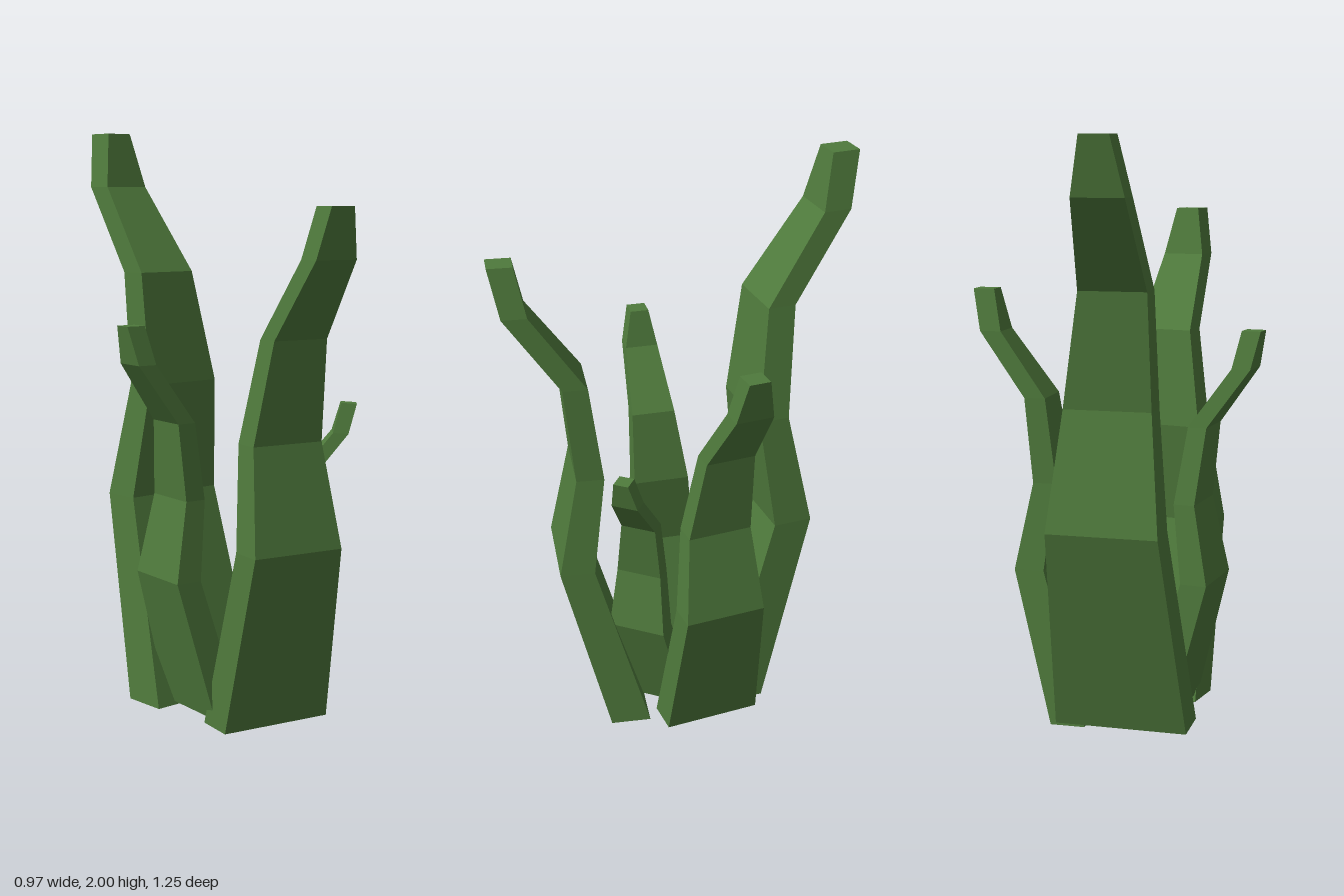
import * as THREE from 'three';

// Rectangular cross-sections of one blade: [height, sideways shift, half width, inner z, outer z]
const RINGS = [
  [0, -0.02, 0.2, 0.14, 0.28],
  [0.62, -0.035, 0.165, 0.32, 0.44],
  [0.97, -0.035, 0.13, 0.275, 0.37],
  [1.31, -0.01, 0.1, 0.32, 0.405],
  [1.57, 0, 0.075, 0.505, 0.59],
  [1.735, 0, 0.042, 0.54, 0.625],
];

// A segmented box whose vertex rows are moved onto the cross-sections
function bladeGeometry() {
  const last = RINGS.length - 1;
  const geo = new THREE.BoxGeometry(1, 1, 1, 1, last, 1);
  const pos = geo.attributes.position;
  for (let i = 0; i < pos.count; i++) {
    const [y, shift, half, inner, outer] = RINGS[Math.round((pos.getY(i) + 0.5) * last)];
    pos.setXYZ(i, shift + Math.sign(pos.getX(i)) * half, y, pos.getZ(i) > 0 ? outer : inner);
  }
  geo.computeVertexNormals();
  return geo;
}

export function createModel() {
  const group = new THREE.Group();
  group.name = 'plant';
  const geo = bladeGeometry();
  const material = new THREE.MeshStandardMaterial({ color: 0x4f7a3c, flatShading: true });

  // Blades of one shape, turned around the centre: name, size, heading in degrees, outward tilt, position
  const blades = [
    ['frontBlade', 1, 0, 0, [0, 0.012, 0]],
    ['backBlade', 1.14, 191.5, 0, [-0.068, 0.022, 0.078]],
    ['leftBlade', 0.859, 102.4, 0, [-0.051, 0, -0.053]],
    ['rightBlade', 0.766, -85.4, 0, [-0.006, 0.034, 0.04]],
    ['smallBlade', 0.617, 59, 0.07, [-0.078, 0.04, 0.012]],
  ];
  for (const [name, size, heading, tilt, position] of blades) {
    const blade = new THREE.Mesh(geo, material);
    blade.name = name;
    blade.scale.setScalar(size);
    blade.rotation.set(tilt, THREE.MathUtils.degToRad(heading), 0, 'YXZ');
    blade.position.set(...position);
    group.add(blade);
  }
  return group;
}
